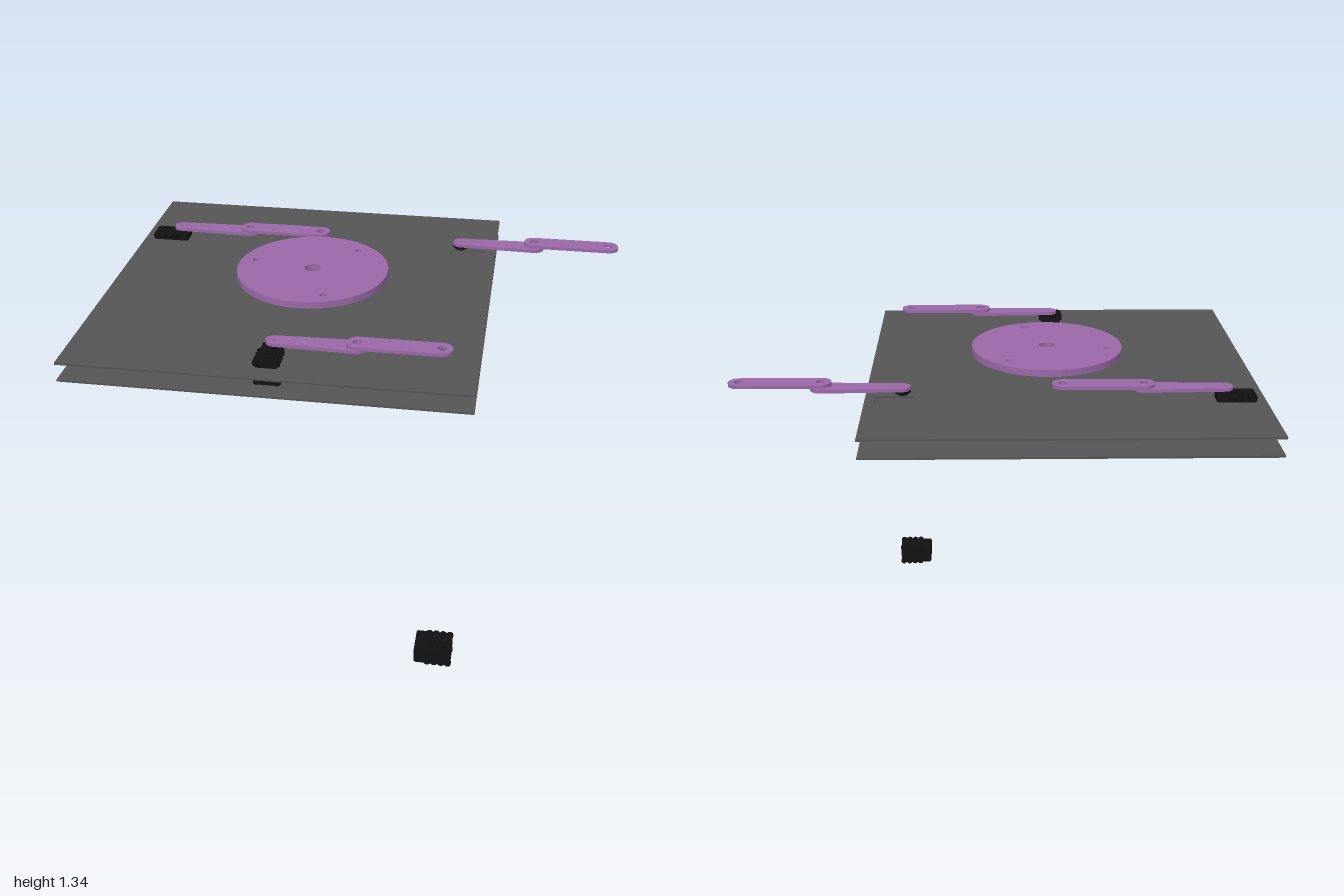
import * as THREE from 'three';

const purple = new THREE.MeshStandardMaterial({ color: 0x9a68a8 });
const grey = new THREE.MeshStandardMaterial({ color: 0x555555 });
const black = new THREE.MeshStandardMaterial({ color: 0x111111 });

function circleHole(shape, x, y, r) {
  shape.holes.push(new THREE.Path().absarc(x, y, r, 0, Math.PI * 2, true));
}

// Flat part lying in the ground plane (shape y becomes -z), from y0 up
function slab(name, shape, y0, thickness, material) {
  const geo = new THREE.ExtrudeGeometry(shape, { depth: thickness, bevelEnabled: false, curveSegments: 24 });
  geo.rotateX(-Math.PI / 2).translate(0, y0, 0);
  const mesh = new THREE.Mesh(geo, material);
  mesh.name = name;
  return mesh;
}

function rectangle(Type, x0, x1, z0, z1) {
  const s = new Type();
  s.moveTo(x0, -z1);
  s.lineTo(x1, -z1);
  s.lineTo(x1, -z0);
  s.lineTo(x0, -z0);
  s.closePath();
  return s;
}

// Link outline: rounded ends of radius r1 and r2, a length apart
function linkShape(length, r1, r2) {
  const s = new THREE.Shape();
  s.absarc(length, 0, r2, -Math.PI / 2, Math.PI / 2, false);
  s.absarc(0, 0, r1, Math.PI / 2, Math.PI * 1.5, false);
  s.closePath();
  return s;
}

// Two overlapping links; the origin is the servo axis
function makeArm(gap) {
  const arm = new THREE.Group();
  const lower = linkShape(0.3, 0.031, 0.04);
  circleHole(lower, 0.3, 0, 0.017);
  circleHole(lower, 0, 0, 0.005);
  for (let i = 0; i < 4; i++) {
    const a = i * Math.PI / 2;
    circleHole(lower, 0.017 * Math.cos(a), 0.017 * Math.sin(a), 0.003);
  }
  arm.add(slab('lowerLink', lower, 0, 0.013, purple));
  const upper = linkShape(0.3, 0.04, 0.04);
  circleHole(upper, 0, 0, 0.017);
  circleHole(upper, 0.3, 0, 0.017);
  const upperLink = slab('upperLink', upper, 0.013 + gap, 0.013, purple);
  upperLink.position.x = 0.3;
  arm.add(upperLink);
  return arm;
}

// Round output horn in two steps
function makeHorn() {
  const profile = [[0, -0.018], [0.02, -0.018], [0.02, -0.009], [0.031, -0.009], [0.031, 0], [0, 0]];
  const points = profile.map(([r, y]) => new THREE.Vector2(r, y));
  // Separate bands keep the edges crisp
  const horn = new THREE.Group();
  for (let i = 0; i < points.length - 1; i++) {
    horn.add(new THREE.Mesh(new THREE.LatheGeometry([points[i], points[i + 1]], 32), black));
  }
  horn.name = 'servoHorn';
  return horn;
}

// Servo with its axis at the origin, body running to +x, centred in height
function makeServo() {
  const servo = new THREE.Group();
  const body = new THREE.Shape();
  const x0 = -0.038, x1 = 0.107, w = 0.038, c = 0.012;
  body.moveTo(x0 + c, -w);
  body.lineTo(x1, -w);
  body.lineTo(x1, w);
  body.lineTo(x0 + c, w);
  body.quadraticCurveTo(x0, w, x0, w - c);
  body.lineTo(x0, -w + c);
  body.quadraticCurveTo(x0, -w, x0 + c, -w);
  servo.add(slab('servoBody', body, -0.05, 0.1, black));

  // Ring-shaped mounting lugs along both long edges, near top and bottom
  const ring = new THREE.Shape().absarc(0, 0, 0.0135, 0, Math.PI * 2, false);
  circleHole(ring, 0, 0, 0.006);
  for (const y of [-0.046, 0.032]) {
    for (const side of [-1, 1]) {
      for (let i = 0; i < 4; i++) {
        const lug = slab('mountingLug', ring, y, 0.014, black);
        lug.position.set(0.015 + 0.027 * i, 0, side * 0.0365);
        servo.add(lug);
      }
    }
  }
  // Low bosses on both end faces
  for (const x of [0.003, 0.073]) {
    const boss = new THREE.Mesh(new THREE.CylinderGeometry(0.012, 0.012, 0.11, 20), black);
    boss.name = 'servoBoss';
    boss.position.x = x;
    servo.add(boss);
  }
  return servo;
}

export function createModel() {
  const model = new THREE.Group();
  model.name = 'armPlatform';

  // Two square plates with a slot for each servo
  const slots = [[-0.96, -0.815, -0.42, -0.338], [-0.292, -0.212, 0.52, 0.667], [0.31, 0.452, -0.42, -0.338]];
  for (const [name, y] of [['lowerPlate', 1.184], ['upperPlate', 1.253]]) {
    const shape = rectangle(THREE.Shape, -1, 0.49, -0.75, 0.743);
    for (const slot of slots) shape.holes.push(rectangle(THREE.Path, ...slot));
    model.add(slab(name, shape, y, 0.008, grey));
  }

  // Central disc with an axle hole and three bolt holes
  const disc = new THREE.Shape().absarc(0, 0, 0.297, 0, Math.PI * 2, false);
  circleHole(disc, 0, 0, 0.031);
  for (const deg of [50, 170, 290]) {
    const a = deg * Math.PI / 180;
    circleHole(disc, 0.24 * Math.cos(a), 0.24 * Math.sin(a), 0.014);
  }
  const discMesh = slab('centreDisc', disc, 1.315, 0.027, purple);
  discMesh.position.set(-0.205, 0, 0.01);
  model.add(discMesh);

  // Arms and horns
  const arms = [
    ['backRightArm', -0.845, 1.3, -0.38, 0],
    ['frontArm', -0.243, 1.304, 0.558, 0.001],
    ['backLeftArm', 0.347, 1.304, -0.38, 0.006],
  ];
  for (const [name, x, y, z, gap] of arms) {
    const arm = makeArm(gap);
    arm.add(makeHorn());
    arm.name = name;
    arm.position.set(x, y, z);
    model.add(arm);
  }

  // Two mounted servos and one loose servo lying on its side
  const servos = [
    ['backRightServo', [-0.853, 1.236, -0.38], [0, Math.PI, 0]],
    ['frontServo', [-0.252, 1.236, 0.562], [0, -Math.PI / 2, 0]],
    ['looseServo', [0.345, 0.05, 0.695], [Math.PI / 2, 0, 0]],
  ];
  for (const [name, position, rotation] of servos) {
    const servo = makeServo();
    servo.name = name;
    servo.position.set(...position);
    servo.rotation.set(...rotation);
    model.add(servo);
  }
  return model;
}
